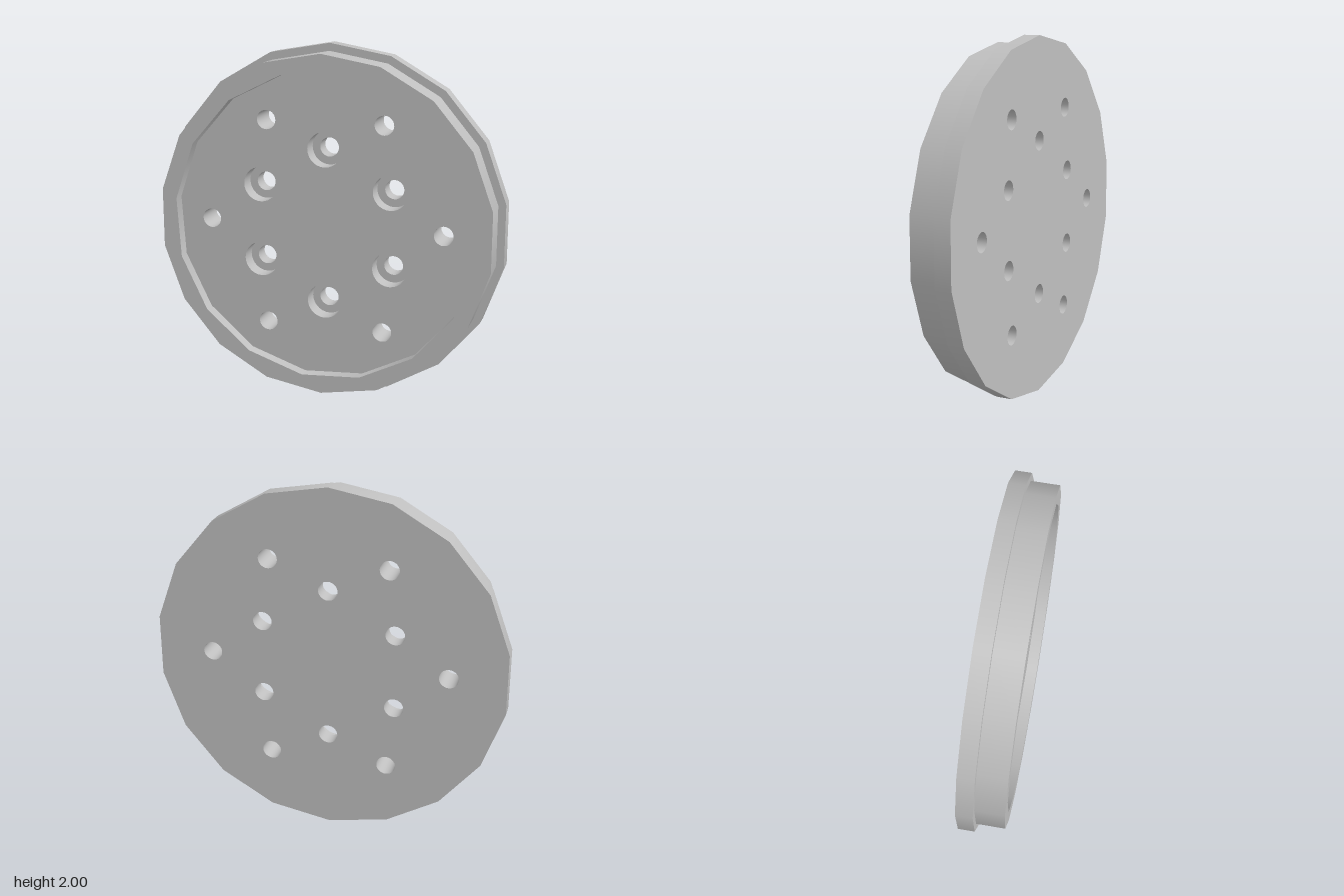
import * as THREE from 'three';

const SIDES = 18, ROUND = 28;
const BACK = -0.127, STEP = -0.034, FLOOR = 0.06, FRONT = 0.127;
const RIM_TURN = THREE.MathUtils.degToRad(82.4);

// Regular polygon; turn is the angle of one corner
function ring(r, n, turn = Math.PI / 2, cx = 0, cy = 0) {
  return Array.from({ length: n }, (_, i) => {
    const a = turn + (i / n) * Math.PI * 2;
    return new THREE.Vector2(cx + r * Math.cos(a), cy + r * Math.sin(a));
  });
}

// Flat face at depth z, pierced by the given rings
function face(outline, holes, z, backward = false) {
  const shape = new THREE.Shape(outline);
  holes.forEach((h) => shape.holes.push(new THREE.Path(h)));
  const g = new THREE.ShapeGeometry(shape);
  if (backward) flip(g);
  return g.translate(0, 0, z);
}

function flip(g) {
  const idx = g.index.array;
  for (let i = 0; i < idx.length; i += 3) [idx[i], idx[i + 1]] = [idx[i + 1], idx[i]];
  const n = g.attributes.normal.array;
  for (let i = 0; i < n.length; i++) n[i] = -n[i];
  return g;
}

// Smooth wall between two depths, facing outward or into a hole
function wall(r, n, z0, z1, { turn = Math.PI / 2, x = 0, y = 0, inward = false } = {}) {
  const g = new THREE.CylinderGeometry(r, r, z1 - z0, n, 1, true, turn + Math.PI / 2);
  g.rotateX(Math.PI / 2).translate(x, y, (z0 + z1) / 2);
  return inward ? flip(g) : g;
}

export function createModel() {
  const model = new THREE.Group();
  const metal = new THREE.MeshStandardMaterial({ color: 0xbfbfbf });
  metal.name = 'grey metal';

  const disc = new THREE.Group();
  disc.name = 'disc';
  disc.position.y = 1;
  model.add(disc);
  const add = (name, geometry) => {
    const mesh = new THREE.Mesh(geometry, metal);
    mesh.name = name;
    disc.add(mesh);
  };

  // Hole positions: outer plain holes and inner counterbored holes
  const circle = (r, start) => ring(r, 6, start);
  const plain = circle(0.671, 0);
  const bored = circle(0.431, Math.PI / 2);
  const cut = (centres, r) => centres.map((c) => ring(r, ROUND, Math.PI / 2, c.x, c.y));
  const HOLE = 0.054, BORE = 0.098;

  // Flange
  add('flangeBack', face(ring(1, SIDES), [...cut(plain, HOLE), ...cut(bored, HOLE)], BACK, true));
  add('flangeEdge', wall(1, SIDES, BACK, STEP));
  add('flangeStep', face(ring(1, SIDES), [ring(0.957, SIDES)], STEP));

  // Raised body with a shallow recess
  add('bodyEdge', wall(0.957, SIDES, STEP, FRONT));
  add('frontRim', face(ring(0.957, SIDES), [ring(0.867, 16, RIM_TURN)], FRONT));
  add('recessWall', wall(0.867, 16, FLOOR, FRONT, { turn: RIM_TURN, inward: true }));
  add('recessFloor', face(ring(0.867, 16, RIM_TURN), [...cut(plain, HOLE), ...cut(bored, BORE)], FLOOR));

  // Hole walls and counterbore seats
  for (const { x, y } of plain) {
    add('plainHole', wall(HOLE, ROUND, BACK, FLOOR, { x, y, inward: true }));
  }
  for (const { x, y } of bored) {
    add('boltHole', wall(HOLE, ROUND, BACK, STEP, { x, y, inward: true }));
    add('counterbore', wall(BORE, ROUND, STEP, FLOOR, { x, y, inward: true }));
    add('counterboreSeat', face(ring(BORE, ROUND, Math.PI / 2, x, y), cut([{ x, y }], HOLE), STEP));
  }
  return model;
}
